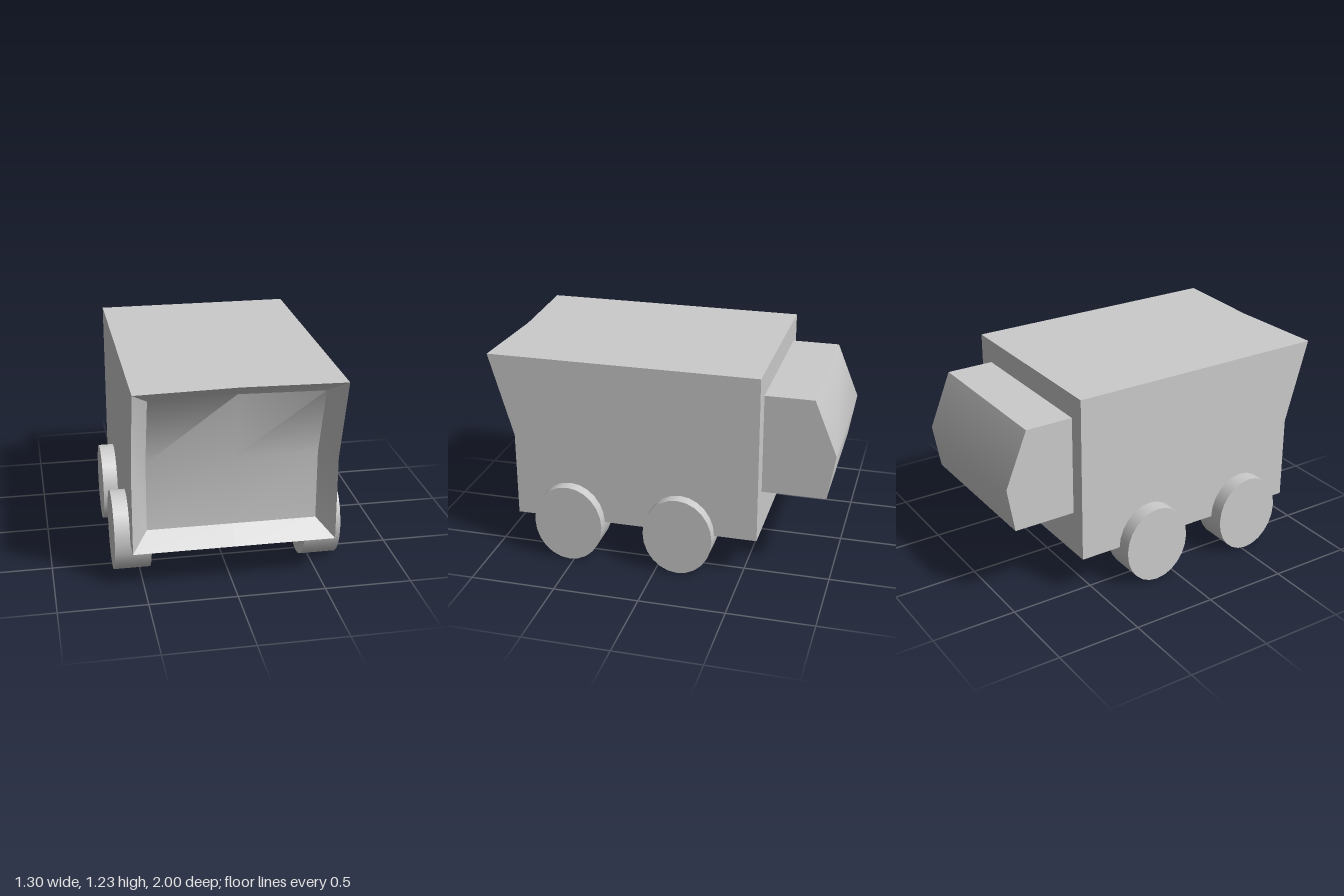
import * as THREE from 'three';
import { toCreasedNormals } from 'three/addons/utils/BufferGeometryUtils.js';

const material = new THREE.MeshStandardMaterial({ color: 0xcccccc });
const CREASE = THREE.MathUtils.degToRad(36);

function addMesh(parent, geometry, name) {
  const mesh = new THREE.Mesh(geometry, material);
  mesh.name = name;
  parent.add(mesh);
  return mesh;
}

// 3 x 3 grid of points; dip pulls the middle of the top edge backwards
function pointGrid(xs, ys, zs, dip) {
  return xs.map((x, i) => ys.map((y, j) => [x, y, zs[j] - (i === 1 && j === 2 ? dip : 0)]));
}

// Cargo body: box with an overhanging top front and a recessed front panel
function bodyGeometry() {
  const xs = [-0.565, 0.01, 0.585];
  const ys = [0.24, 0.74, 1.23];
  const front = pointGrid(xs, ys, [0.86, 0.86, 1], 0.025);
  const back = pointGrid(xs, ys, [-0.585, -0.585, -0.585], 0);
  const panel = pointGrid([-0.475, 0.01, 0.49], [0.34, 0.745, 1.155], [0.77, 0.77, 0.9], 0.025);
  const positions = [];
  const quad = (a, b, c, d) => positions.push(...a, ...b, ...c, ...a, ...c, ...d);

  // Recessed panel and rear wall
  for (let i = 0; i < 2; i++) {
    for (let j = 0; j < 2; j++) {
      quad(panel[i][j], panel[i + 1][j], panel[i + 1][j + 1], panel[i][j + 1]);
      quad(back[i][j], back[i][j + 1], back[i + 1][j + 1], back[i + 1][j]);
    }
  }
  // Sloping rim and outer walls around the border
  const border = [[0, 0], [1, 0], [2, 0], [2, 1], [2, 2], [1, 2], [0, 2], [0, 1]];
  border.forEach(([i, j], k) => {
    const [m, n] = border[(k + 1) % border.length];
    quad(front[i][j], front[m][n], panel[m][n], panel[i][j]);
    quad(back[i][j], back[m][n], front[m][n], front[i][j]);
  });

  const geometry = new THREE.BufferGeometry();
  geometry.setAttribute('position', new THREE.Float32BufferAttribute(positions, 3));
  return toCreasedNormals(geometry, CREASE);
}

// Cab: side profile (-z, y) extruded across the width
function cabGeometry() {
  const profile = [[0.58, 0.5], [0.955, 0.5], [1, 0.765], [0.868, 1.09], [0.58, 1.09]];
  const shape = new THREE.Shape(profile.map(([z, y]) => new THREE.Vector2(z, y)));
  const geometry = new THREE.ExtrudeGeometry(shape, { depth: 0.94, bevelEnabled: false });
  geometry.translate(0, 0, -0.47).rotateY(Math.PI / 2);
  return toCreasedNormals(geometry, CREASE);
}

export function createModel() {
  const model = new THREE.Group();
  model.name = 'truck';

  addMesh(model, bodyGeometry(), 'cargoBody');
  addMesh(model, cabGeometry(), 'cab');

  // Slightly oval wheels, two per side
  const wheel = new THREE.CylinderGeometry(1, 1, 0.208, 24);
  wheel.rotateZ(Math.PI / 2).scale(1, 0.235, 0.205);
  for (const [side, sign] of [['left', 1], ['right', -1]]) {
    for (const [end, z] of [['Front', 0.528], ['Rear', -0.132]]) {
      addMesh(model, wheel, `${side}${end}Wheel`).position.set(sign * 0.548, 0.237, z);
    }
  }
  return model;
}
